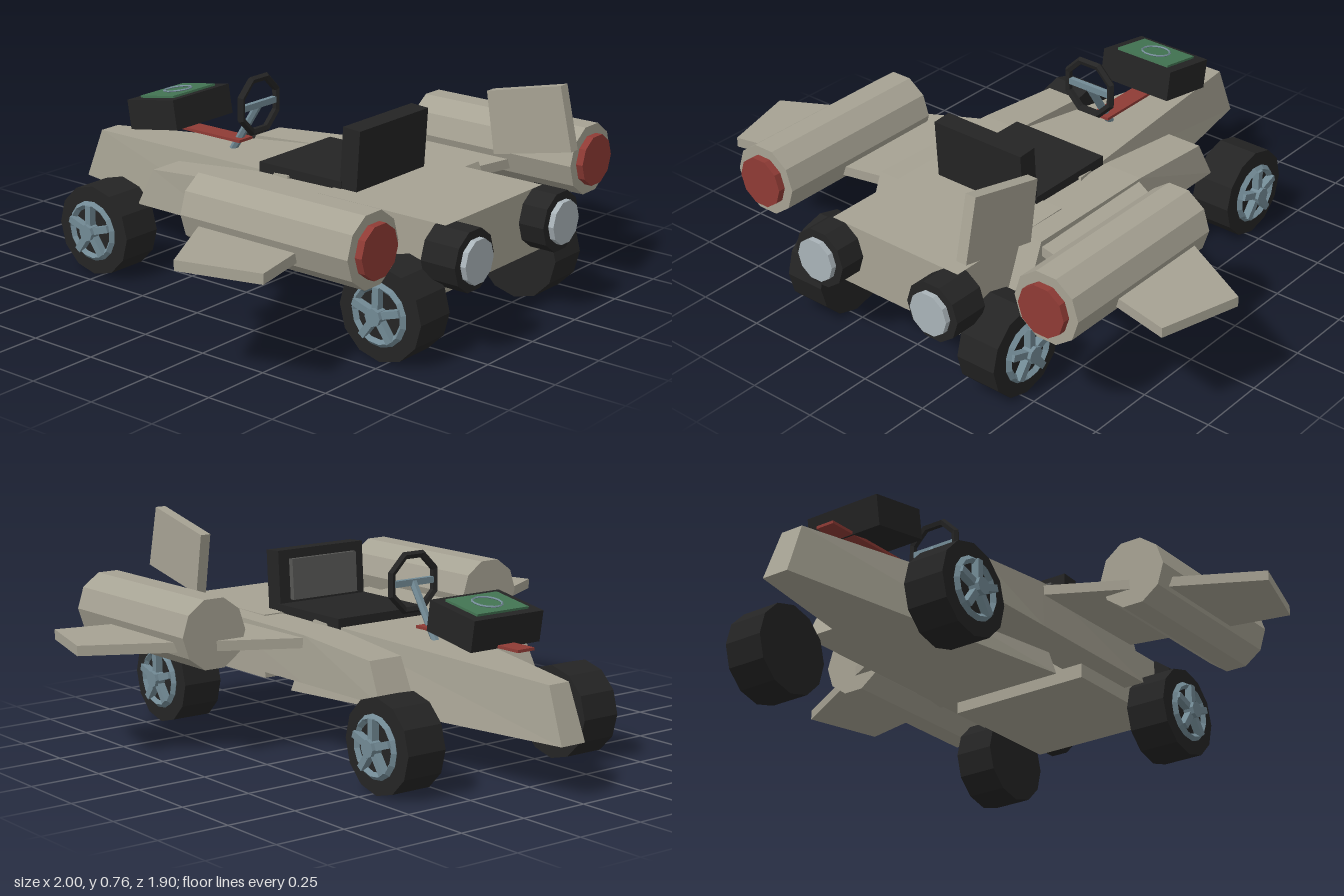
import * as THREE from 'three';

const mat = (name, color) => Object.assign(new THREE.MeshStandardMaterial({ color }), { name });

export function createModel() {
  const group = new THREE.Group();
  const hull = mat('hull beige', 0xa6a293);
  const black = mat('rubber black', 0x242424);
  const grey = mat('cushion grey', 0x565654);
  const steel = mat('blue steel', 0x728a95);
  const red = mat('signal red', 0x8f3b35);
  const green = mat('screen green', 0x437553);
  const glass = mat('lamp glass', 0xa9b3b8);

  // Faceted mesh helper
  function add(name, geo, material, x = 0, y = 0, z = 0, parent = group) {
    const g = geo.index ? geo.toNonIndexed() : geo;
    g.computeVertexNormals();
    const m = new THREE.Mesh(g, material);
    m.name = name;
    m.position.set(x, y, z);
    parent.add(m);
    return m;
  }
  const box = (w, h, d) => new THREE.BoxGeometry(w, h, d);
  // Cylinder along z with flat top facet, or along x
  const cylZ = (r, len, n) => new THREE.CylinderGeometry(r, r, len, n).rotateY(Math.PI / n).rotateX(Math.PI / 2);
  const cylX = (r, len, n) => new THREE.CylinderGeometry(r, r, len, n).rotateZ(Math.PI / 2);

  // Solid through four-cornered sections, listed from -z to +z.
  // Section: [bottom x0, x1, y, z, top x0, x1, y, z]
  function loft(sections) {
    const rings = sections.map(([a, b, y, z, c, d, ty, tz]) =>
      [[a, y, z], [b, y, z], [d, ty, tz], [c, ty, tz]]);
    const p = [];
    const quad = (a, b, c, d) => p.push(...a, ...b, ...c, ...a, ...c, ...d);
    const first = rings[0], last = rings[rings.length - 1];
    quad(first[3], first[2], first[1], first[0]);
    quad(...last);
    for (let s = 0; s < rings.length - 1; s++) {
      for (let i = 0; i < 4; i++) {
        const j = (i + 1) % 4;
        quad(rings[s][i], rings[s][j], rings[s + 1][j], rings[s + 1][i]);
      }
    }
    const g = new THREE.BufferGeometry();
    g.setAttribute('position', new THREE.Float32BufferAttribute(p, 3));
    return g;
  }
  const plate = (points, depth) => new THREE.ExtrudeGeometry(
    new THREE.Shape(points.map(([x, y]) => new THREE.Vector2(x, y))), { depth, bevelEnabled: false });

  // Wedge nose and rear body
  add('nose', loft([
    [-0.05, 0.05, 0.18, -0.95, -0.042, 0.042, 0.365, -0.88],
    [-0.25, 0.25, 0.18, 0.205, -0.2, 0.2, 0.433, 0.14],
  ]), hull);
  add('rearBody', box(0.54, 0.225, 0.51), hull, 0, 0.3175, 0.585);

  for (const s of [-1, 1]) {
    const side = new THREE.Group();
    side.name = s > 0 ? 'leftSide' : 'rightSide';
    group.add(side);
    const span = (a, b) => (s > 0 ? [a, b] : [-b, -a]);

    // Side pod with sloping ends
    add('sidePod', loft([
      [...span(0.205, 0.345), 0.256, -0.41, ...span(0.205, 0.335), 0.39, -0.345],
      [...span(0.19, 0.347), 0.256, 0, ...span(0.19, 0.342), 0.42, 0],
      [...span(0.19, 0.35), 0.256, 0.6, ...span(0.19, 0.35), 0.43, 0.53],
    ]), hull, 0, 0, 0, side);

    // Swept wing
    const wing = [[0.275, -0.03], [1, 0.365], [0.92, 0.65], [0.3, 0.515]].map(([x, z]) => [s * x, z]);
    add('wing', plate(wing, 0.035).rotateX(Math.PI / 2), hull, 0, 0.41, 0, side);

    // Booster with red nozzle
    add('booster', cylZ(0.125, 0.67, 10), hull, s * 0.605, 0.435, 0.48, side);
    add('boosterNozzle', cylZ(0.09, 0.03, 10), red, s * 0.605, 0.435, 0.826, side);

    // Tail lamp
    add('lampHousing', cylZ(0.105, 0.13, 10), black, s * 0.245, 0.33, 0.87, side);
    add('lampGlass', cylZ(0.076, 0.03, 10), glass, s * 0.245, 0.33, 0.94, side);

    // Wheels: tyre, rim ring, five spokes and hub
    for (const z of [-0.527, 0.725]) {
      const wheel = new THREE.Group();
      wheel.name = z < 0 ? 'frontWheel' : 'rearWheel';
      wheel.position.set(s * 0.375, 0.16, z);
      side.add(wheel);
      add('tyre', cylX(0.16, 0.15, 12), black, 0, 0, 0, wheel);
      add('rim', new THREE.TorusGeometry(0.095, 0.013, 4, 15).rotateY(Math.PI / 2), steel, s * 0.08, 0, 0, wheel);
      add('hub', cylX(0.03, 0.04, 8), steel, s * 0.095, 0, 0, wheel);
      for (let i = 0; i < 5; i++) {
        const spoke = box(0.03, 0.09, 0.024).translate(s * 0.087, 0.05, 0).rotateX(i * Math.PI * 2 / 5);
        add('spoke', spoke, steel, 0, 0, 0, wheel);
      }
    }
  }

  // Single tail fin on the left
  add('tailFin', plate([[0.86, 0.757], [0.57, 0.69], [0.605, 0.475], [0.91, 0.54]], 0.04)
    .rotateY(-Math.PI / 2), hull, 0.37, 0, 0);

  // Seat
  add('seatBase', box(0.38, 0.07, 0.35), black, 0, 0.42, 0.185);
  const seatBack = add('seatBack', box(0.37, 0.23, 0.07), black, 0, 0.525, 0.392);
  seatBack.rotation.x = 0.06;
  add('backCushion', box(0.28, 0.145, 0.03), grey, 0, 0.538, 0.352).rotation.x = 0.06;

  // Steering wheel, crossbar and column
  const ring = new THREE.TorusGeometry(0.1, 0.014, 5, 8).rotateZ(Math.PI / 8);
  add('steeringWheel', ring, black, 0, 0.585, -0.155);
  add('steeringBar', box(0.19, 0.022, 0.018), steel, 0, 0.585, -0.155);
  const column = new THREE.LineCurve3(new THREE.Vector3(0, 0.4, -0.275), new THREE.Vector3(0, 0.585, -0.155));
  add('steeringColumn', new THREE.TubeGeometry(column, 1, 0.014, 6), steel);

  // Red strip and tilted console
  add('redStrip', box(0.07, 0.01, 0.51), red, 0, 0.445, -0.47);
  const display = new THREE.Group();
  display.name = 'console';
  display.position.set(0, 0.51, -0.525);
  display.rotation.x = -0.165;
  group.add(display);
  add('consoleBox', box(0.294, 0.107, 0.224), black, 0, 0, 0, display);
  add('screen', box(0.22, 0.009, 0.16), green, 0, 0.057, 0, display);
  add('screenRing', new THREE.TorusGeometry(0.05, 0.004, 4, 14).rotateX(Math.PI / 2), steel, 0, 0.064, 0, display);

  return group;
}
